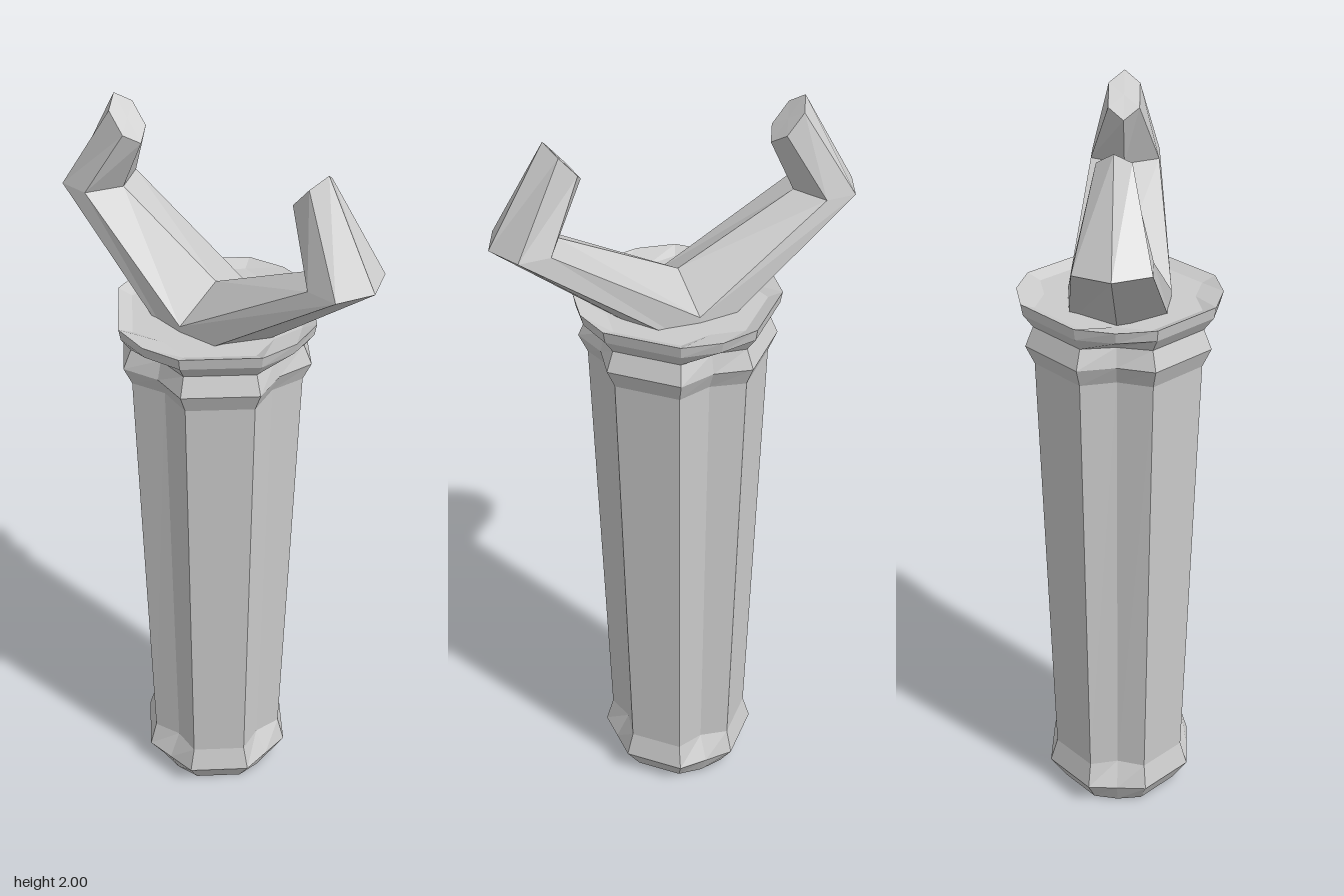
import * as THREE from 'three';

const material = new THREE.MeshStandardMaterial({ color: 0xcccccc, flatShading: true });

// Skin a series of equal-length rings, with optional flat end caps
function loft(rings, capStart, capEnd) {
  const n = rings[0].length;
  const pos = [];
  const tri = (...pts) => pts.forEach((p) => pos.push(p.x, p.y, p.z));
  const centre = (ring) =>
    ring.reduce((sum, p) => sum.add(p), new THREE.Vector3()).divideScalar(n);
  for (let i = 0; i < rings.length - 1; i++) {
    for (let j = 0; j < n; j++) {
      const k = (j + 1) % n;
      const a = rings[i][j], b = rings[i][k], c = rings[i + 1][j], d = rings[i + 1][k];
      tri(a, c, b);
      tri(b, c, d);
    }
  }
  const first = rings[0], last = rings[rings.length - 1];
  for (let j = 0; j < n; j++) {
    const k = (j + 1) % n;
    if (capStart) tri(centre(first), first[j], first[k]);
    if (capEnd) tri(centre(last), last[k], last[j]);
  }
  const geometry = new THREE.BufferGeometry();
  geometry.setAttribute('position', new THREE.Float32BufferAttribute(pos, 3));
  geometry.computeVertexNormals();
  return geometry;
}

// Twelve-point ring: four sides of half-width a at distance b, each with a
// middle point at distance m (a groove when m < b, a bulge when m > b)
function columnRing([y, b, a, m]) {
  const ring = [];
  for (let q = 0; q < 4; q++) {
    const c = Math.round(Math.cos((q * Math.PI) / 2));
    const s = Math.round(Math.sin((q * Math.PI) / 2));
    for (const [u, v] of [[b, -a], [m, 0], [b, a]]) {
      ring.push(new THREE.Vector3(u * c - v * s, y, u * s + v * c));
    }
  }
  return ring;
}

// Six-point ring of a prong, symmetric in x: four [halfWidth, y, z] points
function prongRing(points) {
  const p = points.map(([x, y, z]) => new THREE.Vector3(x, y, z));
  const mirror = (v) => new THREE.Vector3(-v.x, v.y, v.z);
  return [p[0], p[1], p[2], p[3], mirror(p[2]), mirror(p[1])];
}

export function createModel() {
  const model = new THREE.Group();
  const add = (name, geometry) => {
    const mesh = new THREE.Mesh(geometry, material);
    mesh.name = name;
    model.add(mesh);
    return mesh;
  };

  // Rings shared between neighbouring parts: [y, b, a, m]
  const foot = [0.14, 0.18, 0.077, 0.162];
  const neck = [1.375, 0.21, 0.09, 0.187];
  const lip = [1.475, 0.212, 0.088, 0.198];

  // Base, grooved shaft and collar
  add('base', loft([[0, 0.158, 0.068, 0.168], [0.07, 0.2, 0.082, 0.2], foot].map(columnRing), true, false));
  add('shaft', loft([foot, neck].map(columnRing), false, false));
  add('collar', loft([neck, [1.425, 0.232, 0.096, 0.21], lip].map(columnRing), false, false));

  // Wide rim with a shallow dished top
  add('rim', loft([
    lip,
    [1.51, 0.235, 0.098, 0.252],
    [1.54, 0.24, 0.1, 0.26],
    [1.525, 0.207, 0.085, 0.19],
  ].map(columnRing), false, true));

  // Two bent, tapering hexagonal prongs meeting at the middle
  const prong = loft([
    [[0, 1.61, 0], [0.13, 1.54, 0], [0.13, 1.45, 0], [0, 1.38, 0]],
    [[0, 1.76, 0.31], [0.09, 1.76, 0.355], [0.09, 1.76, 0.435], [0, 1.76, 0.475]],
    [[0, 1.895, 0.243], [0.04, 1.922, 0.265], [0.04, 1.973, 0.309], [0, 2, 0.331]],
  ].map(prongRing), false, true);
  add('frontProng', prong);
  add('backProng', prong).rotation.y = Math.PI;

  return model;
}
